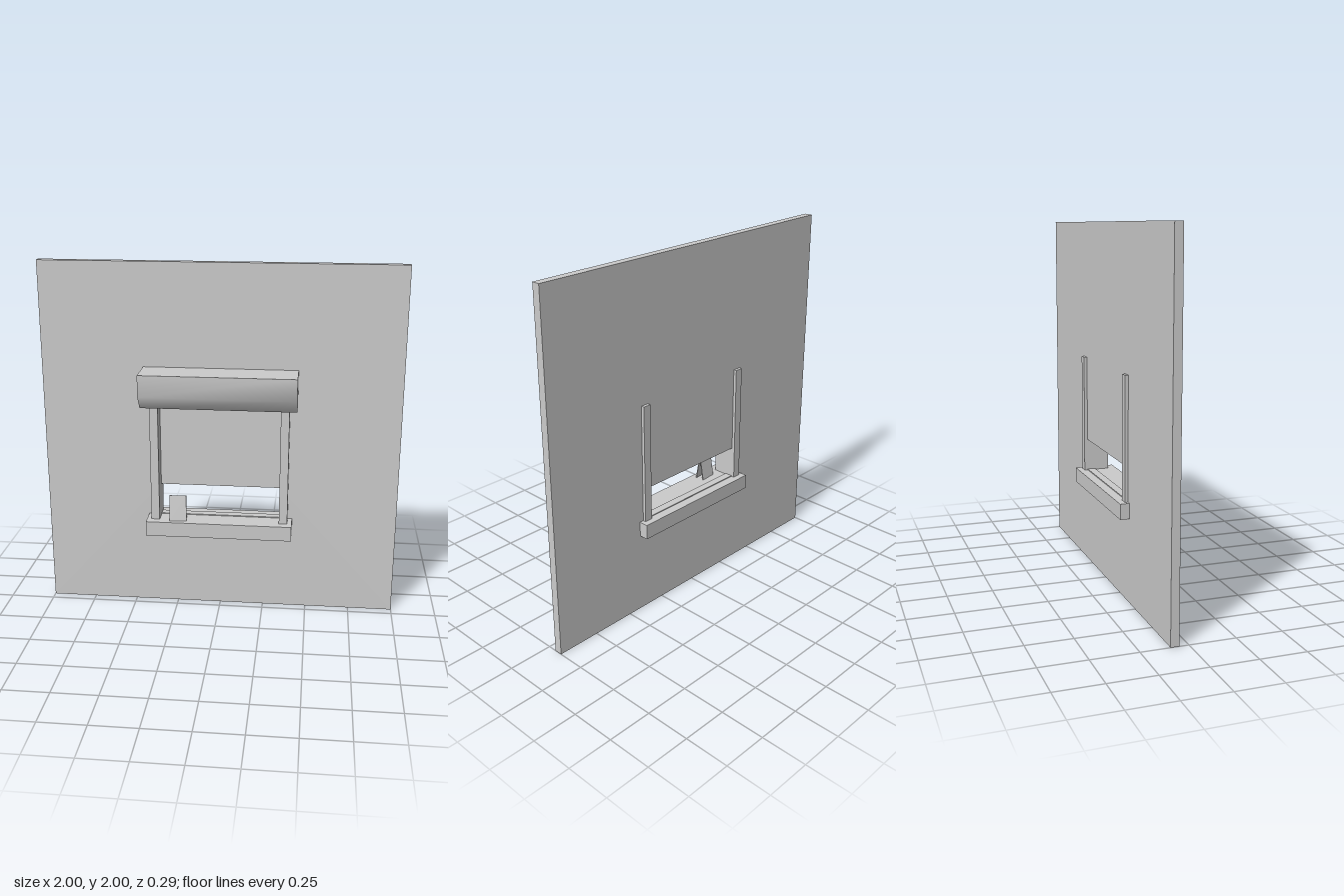
import * as THREE from 'three';
import { toCreasedNormals } from 'three/addons/utils/BufferGeometryUtils.js';

const grey = new THREE.MeshStandardMaterial({ color: 0xcccccc });

function add(group, name, geometry) {
  const mesh = new THREE.Mesh(geometry, grey);
  mesh.name = name;
  group.add(mesh);
  return mesh;
}

// Box given by its lower and upper corners
function box(group, name, [x0, y0, z0], [x1, y1, z1]) {
  const mesh = add(group, name, new THREE.BoxGeometry(x1 - x0, y1 - y0, z1 - z0));
  mesh.position.set((x0 + x1) / 2, (y0 + y1) / 2, (z0 + z1) / 2);
  return mesh;
}

const outline = (points) => new THREE.Shape(points.map(([x, y]) => new THREE.Vector2(x, y)));

// Extrude a (z, y) profile across the given width, centred on x = 0
function acrossX(points, width) {
  const shape = outline(points.map(([z, y]) => [-z, y]));
  return new THREE.ExtrudeGeometry(shape, { depth: width, bevelEnabled: false })
    .translate(0, 0, -width / 2)
    .rotateY(Math.PI / 2);
}

export function createModel() {
  const model = new THREE.Group();
  model.name = 'serviceWindow';

  // Wall panel with the service opening
  const wall = outline([[-1, 0], [1, 0], [1, 2], [-1, 2]]);
  wall.holes.push(outline([[-0.34, 0.555], [-0.34, 0.735], [0.34, 0.735], [0.34, 0.555]]));
  add(model, 'wall', new THREE.ExtrudeGeometry(wall, { depth: 0.045, bevelEnabled: false }))
    .position.z = -0.095;

  // Counter sill running through the wall
  box(model, 'sill', [-0.412, 0.465, -0.147], [0.412, 0.55, 0.08]);

  // Side posts
  for (const [name, side] of [['leftPost', 1], ['rightPost', -1]]) {
    const post = box(model, name, [0.34, 0.55, -0.113], [0.387, 1.225, 0.033]);
    post.position.x *= side;
  }

  // Shutter housing, softly shaded over its lower front
  const housing = acrossX(
    [[-0.05, 1.225], [0.09, 1.225], [0.147, 1.3], [0.147, 1.422], [-0.05, 1.422]], 0.858);
  add(model, 'shutterHousing', toCreasedNormals(housing, 0.75));

  // Folded card standing on the sill, turned slightly
  const card = add(model, 'foldedCard', acrossX(
    [[0.027, 0], [0.022, 0], [0, 0.134], [-0.022, 0], [-0.027, 0], [-0.003, 0.145], [0.003, 0.145]],
    0.096));
  card.position.set(-0.235, 0.55, 0.024);
  card.rotation.y = 0.08;

  return model;
}
